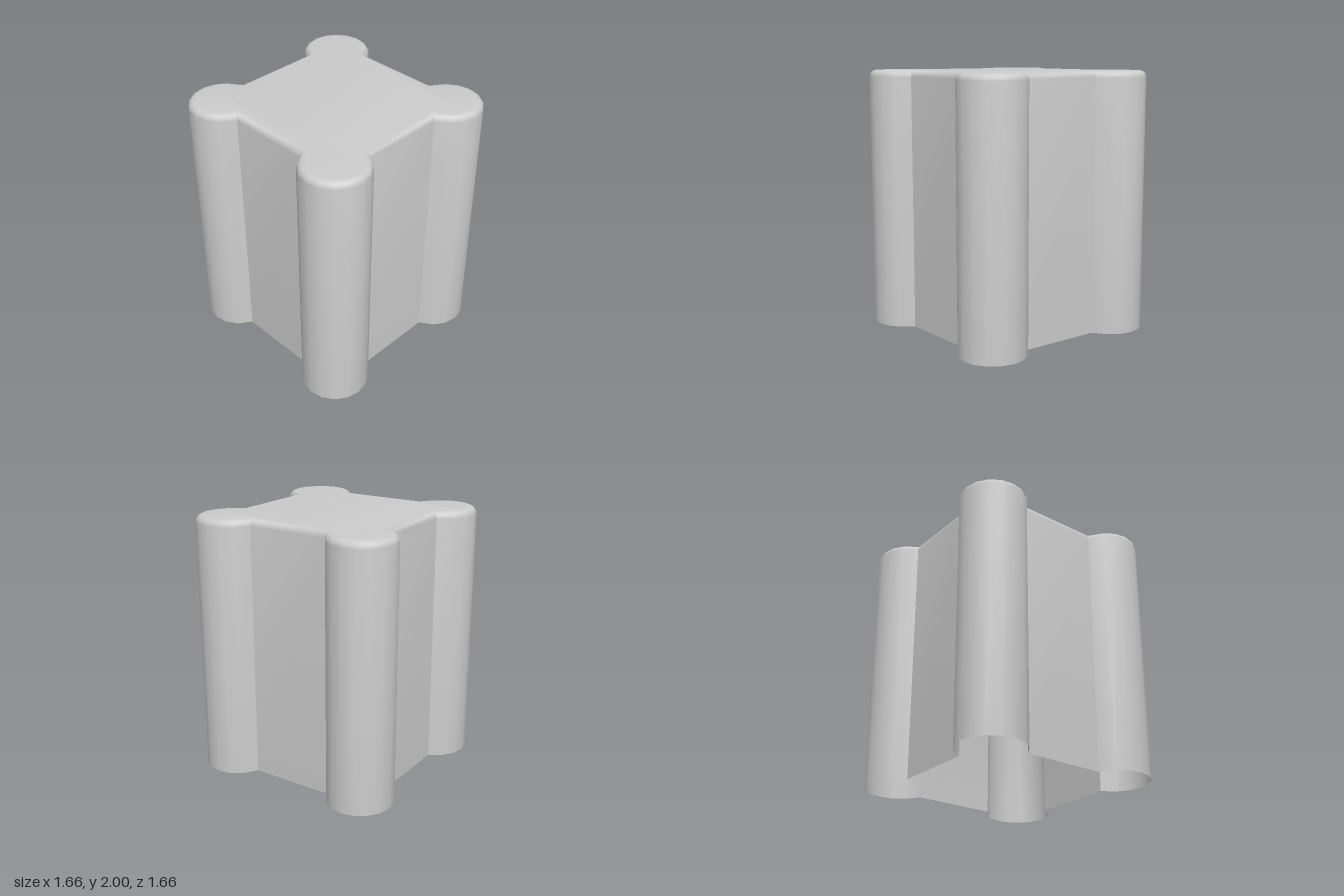
import * as THREE from 'three';
import { toCreasedNormals } from 'three/addons/utils/BufferGeometryUtils.js';

const WALL = 0.655, NOTCH = 0.325, LOBE = 0.575, RADIUS = 0.255, HEIGHT = 2, BEVEL = 0.05;

// Square outline with a round lobe on each corner, points as (x, z)
function makeOutline() {
  const corner = [new THREE.Vector2(WALL, NOTCH)];
  for (let i = -2; i <= 6; i++) {
    const a = i * Math.PI / 8;
    corner.push(new THREE.Vector2(LOBE + RADIUS * Math.cos(a), LOBE + RADIUS * Math.sin(a)));
  }
  corner.push(new THREE.Vector2(NOTCH, WALL));
  const origin = new THREE.Vector2();
  return [0, 1, 2, 3].flatMap(k => corner.map(p => p.clone().rotateAround(origin, k * Math.PI / 2)));
}

// Mitred inset of a closed outline
function inset(points, d) {
  const n = points.length;
  const normal = (a, b) => new THREE.Vector2(b.y - a.y, a.x - b.x).normalize();
  return points.map((p, i) => {
    const n1 = normal(points[(i + n - 1) % n], p);
    const n2 = normal(p, points[(i + 1) % n]);
    const scale = d / (1 + n1.dot(n2));
    return p.clone().sub(n1.add(n2).multiplyScalar(scale));
  });
}

export function createModel() {
  const outline = makeOutline();
  const n = outline.length;

  // Rings: open bottom edge, then a quarter-round bevel up to the top
  const rings = [{ y: 0, pts: outline }];
  for (let i = 0; i <= 4; i++) {
    const a = i * Math.PI / 8;
    rings.push({
      y: HEIGHT - BEVEL + BEVEL * Math.sin(a),
      pts: inset(outline, BEVEL * (1 - Math.cos(a))),
    });
  }
  const positions = [], index = [];
  for (const { y, pts } of rings) for (const p of pts) positions.push(p.x, y, p.y);

  // Side walls and bevel
  for (let r = 0; r < rings.length - 1; r++) {
    for (let i = 0; i < n; i++) {
      const a = r * n + i, b = r * n + (i + 1) % n;
      index.push(a, a + n, b, b, a + n, b + n);
    }
  }

  // Flat top, every triangle facing up
  const top = rings[rings.length - 1].pts, base = (rings.length - 1) * n;
  for (const [a, b, c] of THREE.ShapeUtils.triangulateShape(top, [])) {
    const ccw = THREE.ShapeUtils.area([top[a], top[b], top[c]]) > 0;
    index.push(base + a, base + (ccw ? c : b), base + (ccw ? b : c));
  }

  const geometry = new THREE.BufferGeometry();
  geometry.setAttribute('position', new THREE.Float32BufferAttribute(positions, 3));
  geometry.setIndex(index);

  const shell = new THREE.Mesh(
    toCreasedNormals(geometry, Math.PI / 4),
    new THREE.MeshStandardMaterial({ color: 0xcccccc, side: THREE.DoubleSide })
  );
  shell.name = 'lobedShell';

  const group = new THREE.Group();
  group.name = 'lobedBlock';
  group.add(shell);
  return group;
}
